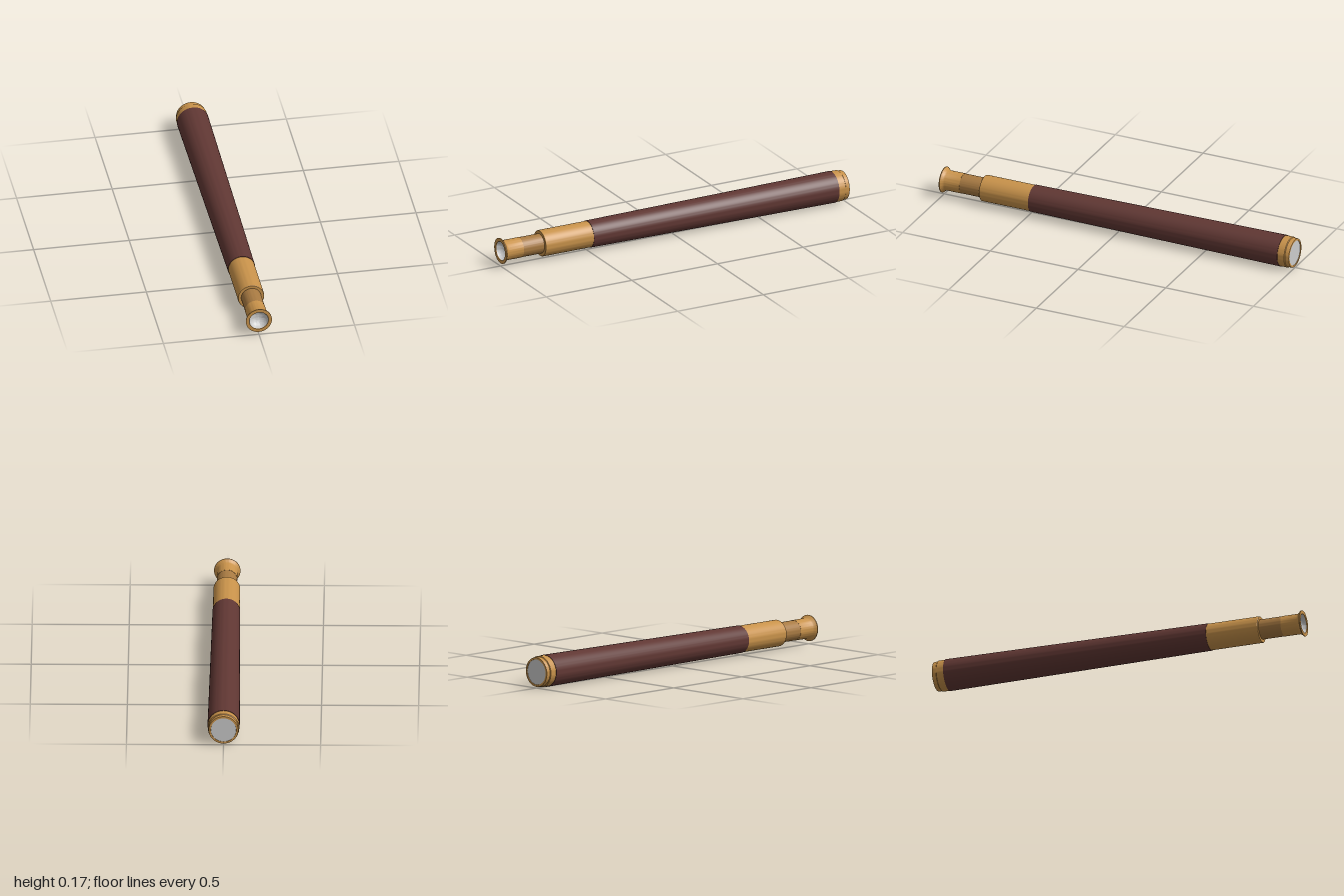
import * as THREE from 'three';
import { toCreasedNormals } from 'three/addons/utils/BufferGeometryUtils.js';

const AXIS_HEIGHT = 0.083;
const BRASS = 0xc8924a, DARK_BRASS = 0xa87a42, LEATHER = 0x603733, GREY = 0xcccccc;

// Turned part: profile of [radius, z] pairs, revolved about the z axis.
// Outer walls run from back to front, inner walls from front to back.
function turned(name, profile, color) {
  const points = profile.map(([r, z]) => new THREE.Vector2(r, z));
  const lathe = new THREE.LatheGeometry(points, 64).rotateX(Math.PI / 2);
  const material = new THREE.MeshStandardMaterial({ color });
  const mesh = new THREE.Mesh(toCreasedNormals(lathe, 0.5), material);
  mesh.name = name;
  return mesh;
}

// Hollow cylinder or cone with flat ends
function tube(name, backR, frontR, innerR, backZ, frontZ, color) {
  return turned(name, [
    [innerR, backZ], [backR, backZ], [frontR, frontZ], [innerR, frontZ], [innerR, backZ],
  ], color);
}

export function createModel() {
  const model = new THREE.Group();
  model.name = 'spyglass';
  const body = new THREE.Group();
  body.name = 'telescopeBody';
  body.position.y = AXIS_HEIGHT;
  model.add(body);

  // Tapered main barrel
  body.add(tube('mainBarrel', 0.083, 0.071, 0.06, -0.937, 0.49, LEATHER));

  // Stepped brass ring around the big lens
  body.add(turned('objectiveRing', [
    [0.064, -0.99], [0.066, -1], [0.076, -1], [0.077, -0.997], [0.077, -0.978],
    [0.081, -0.975], [0.081, -0.937], [0.064, -0.937], [0.064, -0.99],
  ], BRASS));
  body.add(turned('objectiveLens', [[0, -0.998], [0.0655, -0.998]], GREY));

  // Draw tubes
  body.add(turned('drawSleeve', [
    [0.05, 0.48], [0.069, 0.48], [0.069, 0.767], [0.067, 0.77], [0.05, 0.77],
  ], BRASS));
  body.add(tube('innerDrawTube', 0.052, 0.052, 0.045, 0.76, 0.89, DARK_BRASS));

  // Flared eyepiece
  body.add(turned('eyepiece', [
    [0.045, 0.89], [0.053, 0.89], [0.053, 0.977], [0.057, 0.985],
    [0.068, 0.996], [0.068, 1], [0.05, 1], [0.05, 0.99],
  ], BRASS));

  // Concave eye lens, from rim to centre
  const bowl = [];
  for (let i = 0; i <= 12; i++) {
    const a = (i / 12) * Math.PI / 2;
    bowl.push([0.0502 * Math.cos(a), 0.999 - 0.045 * Math.sin(a)]);
  }
  body.add(turned('eyeLens', bowl, GREY));

  return model;
}
